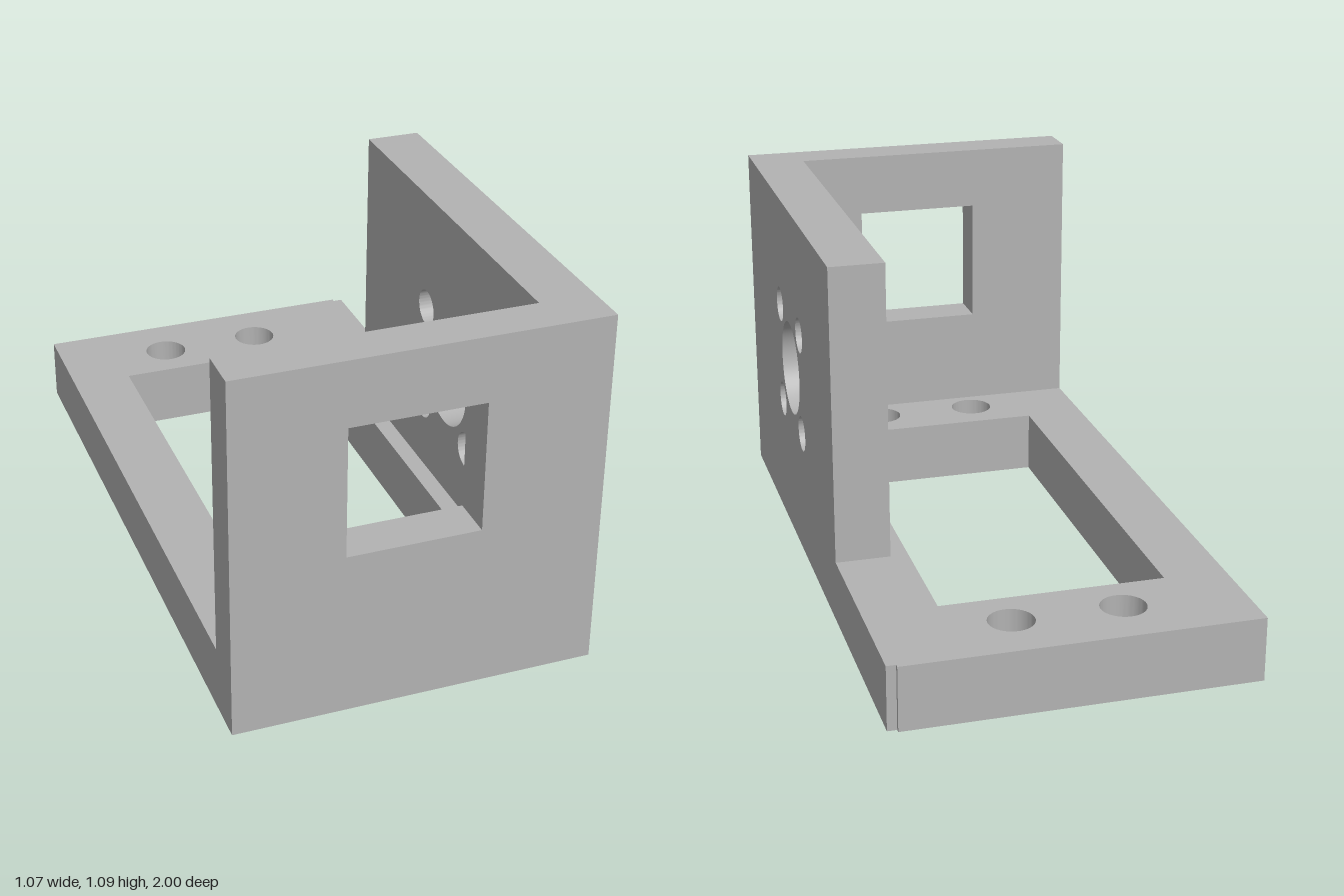
import * as THREE from 'three';
import { toCreasedNormals } from 'three/addons/utils/BufferGeometryUtils.js';

const HALF_W = 0.533, HEIGHT = 1.085, BASE_T = 0.193;
const FRONT_INNER = 0.87, SIDE_INNER = 0.37, SIDE_BACK = -0.342;

const rect = (x0, y0, x1, y1) => [[x0, y0], [x1, y0], [x1, y1], [x0, y1]];
const toPoints = (list) => list.map(([x, y]) => new THREE.Vector2(x, y));

// Flat plate with polygon cut-outs and round holes [x, y, radius]
function plate(outline, depth, windows, holes) {
  const shape = new THREE.Shape(toPoints(outline));
  for (const w of windows) shape.holes.push(new THREE.Path(toPoints(w)));
  for (const [x, y, r] of holes) {
    shape.holes.push(new THREE.Path().absarc(x, y, r, 0, Math.PI * 2, true));
  }
  const geometry = new THREE.ExtrudeGeometry(shape, { depth, bevelEnabled: false, curveSegments: 32 });
  return toCreasedNormals(geometry, Math.PI / 6);
}

export function createModel() {
  const group = new THREE.Group();
  group.name = 'mountingBracket';
  const grey = new THREE.MeshStandardMaterial({ color: 0xb2b2b2 });
  grey.name = 'plain grey';

  const add = (name, geometry) => {
    const mesh = new THREE.Mesh(geometry, grey);
    mesh.name = name;
    group.add(mesh);
  };

  // Base: large rectangular opening, four screw holes, small notch in the back left corner
  const baseHoles = [];
  for (const x of [-0.178, 0.145]) for (const z of [-0.825, 0.775]) baseHoles.push([x, z, 0.067]);
  const baseOutline = [[-HALF_W, -1], [0.505, -1], [0.505, -0.988], [HALF_W, -0.988], [HALF_W, 1], [-HALF_W, 1]];
  add('basePlate', plate(baseOutline, BASE_T, [rect(-0.348, -0.69, 0.317, 0.637)], baseHoles)
    .rotateX(Math.PI / 2).translate(0, BASE_T, 0));

  // Front wall with a square window
  add('frontWall', plate(rect(-HALF_W, BASE_T, HALF_W, HEIGHT), 1 - FRONT_INNER,
    [rect(-0.211, 0.5, 0.177, 0.891)], []).translate(0, 0, FRONT_INNER));

  // Side wall with a shaft hole and four screw holes around it
  const sideHoles = [[0.306, 0.568, 0.147]];
  for (const z of [0.146, 0.466]) for (const y of [0.408, 0.728]) sideHoles.push([z, y, 0.055]);
  add('sideWall', plate(rect(SIDE_BACK, BASE_T, FRONT_INNER, HEIGHT), HALF_W - SIDE_INNER, [], sideHoles)
    .rotateY(-Math.PI / 2).translate(HALF_W, 0, 0));

  return group;
}
